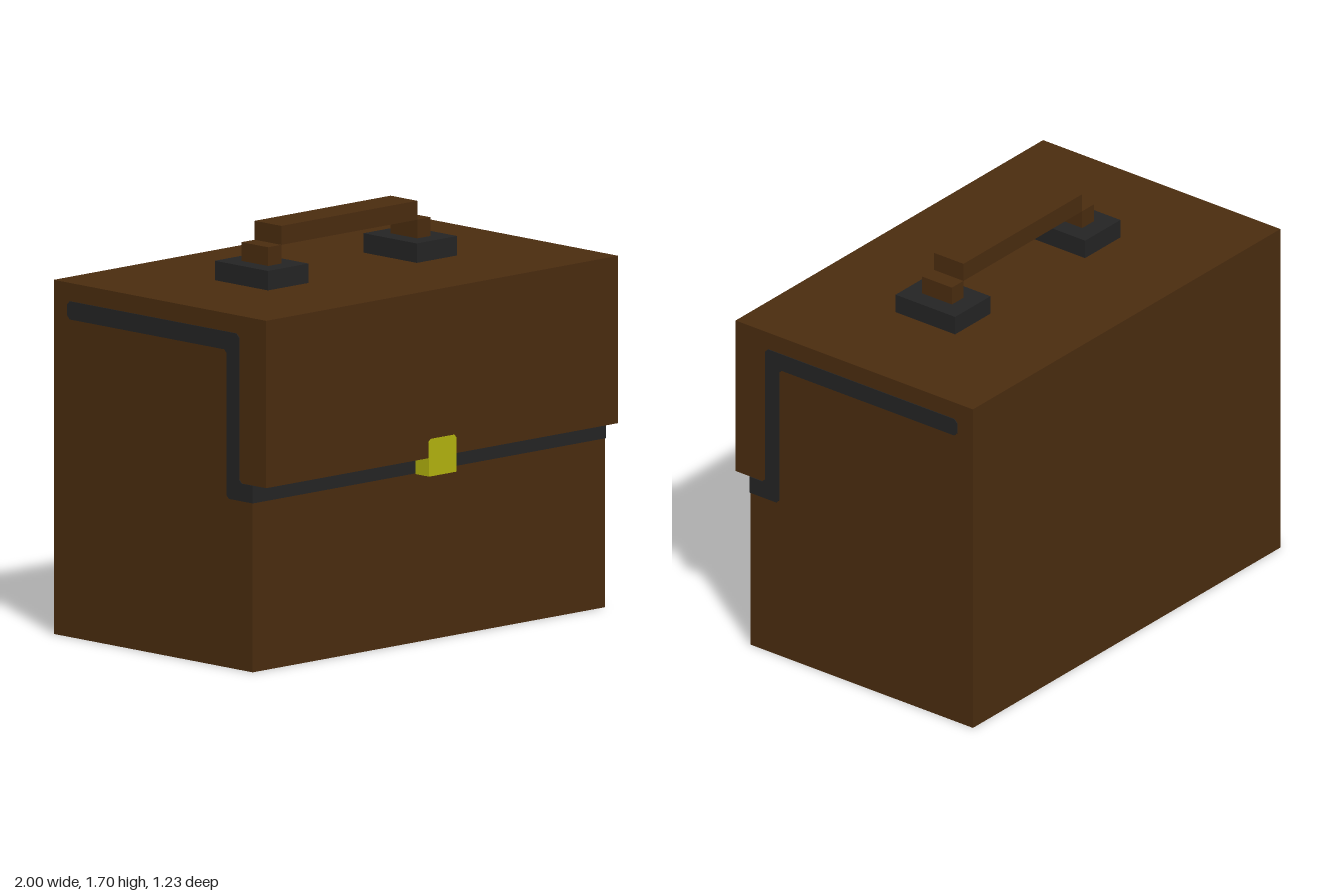
import * as THREE from 'three';

export function createModel() {
  const material = (name, color) => {
    const m = new THREE.MeshStandardMaterial({ color });
    m.name = name;
    return m;
  };
  const leather = material('brownLeather', 0x4a2c0f);
  const trim = material('darkTrim', 0x242424);
  const brass = material('yellowBrass', 0xb2b20f);

  const model = new THREE.Group();
  model.name = 'briefcase';

  const add = (name, geometry, mat, parent = model) => {
    const mesh = new THREE.Mesh(geometry, mat);
    mesh.name = name;
    parent.add(mesh);
    return mesh;
  };

  // Box given by its lower and upper corners
  const box = (name, mat, [x0, y0, z0], [x1, y1, z1], parent) => {
    const geometry = new THREE.BoxGeometry(x1 - x0, y1 - y0, z1 - z0);
    geometry.translate((x0 + x1) / 2, (y0 + y1) / 2, (z0 + z1) / 2);
    return add(name, geometry, mat, parent);
  };

  // Closed side profile of [z, y] points, extruded across x from x0 to x1
  const sideExtrude = (points, x0, x1) => {
    const shape = new THREE.Shape(points.map(([z, y]) => new THREE.Vector2(z, y)));
    return new THREE.ExtrudeGeometry(shape, { depth: x1 - x0, bevelEnabled: false })
      .rotateY(-Math.PI / 2)
      .translate(x1, 0, 0);
  };

  // Case with a front flap that overhangs the lower half
  add('caseBody', sideExtrude([
    [-0.615, 0], [0.537, 0], [0.537, 0.77], [0.615, 0.77], [0.615, 1.46], [-0.615, 1.46],
  ], -0.997, 0.997), leather);

  // Trim: a stepped strip on each side, joined by a band below the flap
  const strip = [
    [0.54, 0.697], [0.54, 0.77], [0.475, 0.77], [0.46, 0.785],
    [0.46, 1.37], [0.445, 1.385], [-0.52, 1.385], [-0.535, 1.37],
    [-0.535, 1.325], [-0.52, 1.31], [0.375, 1.31], [0.387, 1.298],
    [0.387, 0.712], [0.402, 0.697],
  ];
  add('leftTrimStrip', sideExtrude(strip, 0.997, 1), trim);
  add('rightTrimStrip', sideExtrude(strip, -1, -0.997), trim);
  box('frontTrimBand', trim, [-0.997, 0.697, 0.537], [0.997, 0.77, 0.54]);

  // Clasp: a block under the flap and a round-cornered plate over its edge
  box('claspBlock', brass, [-0.077, 0.694, 0.54], [0.077, 0.77, 0.615]);
  const r = 0.012, w = 0.078, y0 = 0.694, y1 = 0.848;
  const plate = new THREE.Shape([
    [-w, y0], [w, y0], [w, y1 - r], [w - r, y1], [-w + r, y1], [-w, y1 - r],
  ].map(([x, y]) => new THREE.Vector2(x, y)));
  add('claspPlate', new THREE.ExtrudeGeometry(plate, { depth: 0.004, bevelEnabled: false })
    .translate(0, 0, 0.614), brass);

  // Handle: grip bar on two posts with dark mounting blocks
  const handle = new THREE.Group();
  handle.name = 'handle';
  model.add(handle);
  box('handleGrip', leather, [-0.385, 1.617, -0.077], [0.385, 1.695, 0.077], handle);
  for (const [side, s] of [['left', 1], ['right', -1]]) {
    const span = (a, b) => (s > 0 ? [a, b] : [-b, -a]);
    const [m0, m1] = span(0.307, 0.536);
    box(side + 'HandleMount', trim, [m0, 1.46, -0.154], [m1, 1.54, 0.154], handle);
    const [p0, p1] = span(0.385, 0.46);
    box(side + 'HandlePost', leather, [p0, 1.54, -0.077], [p1, 1.617, 0.077], handle);
  }

  return model;
}
